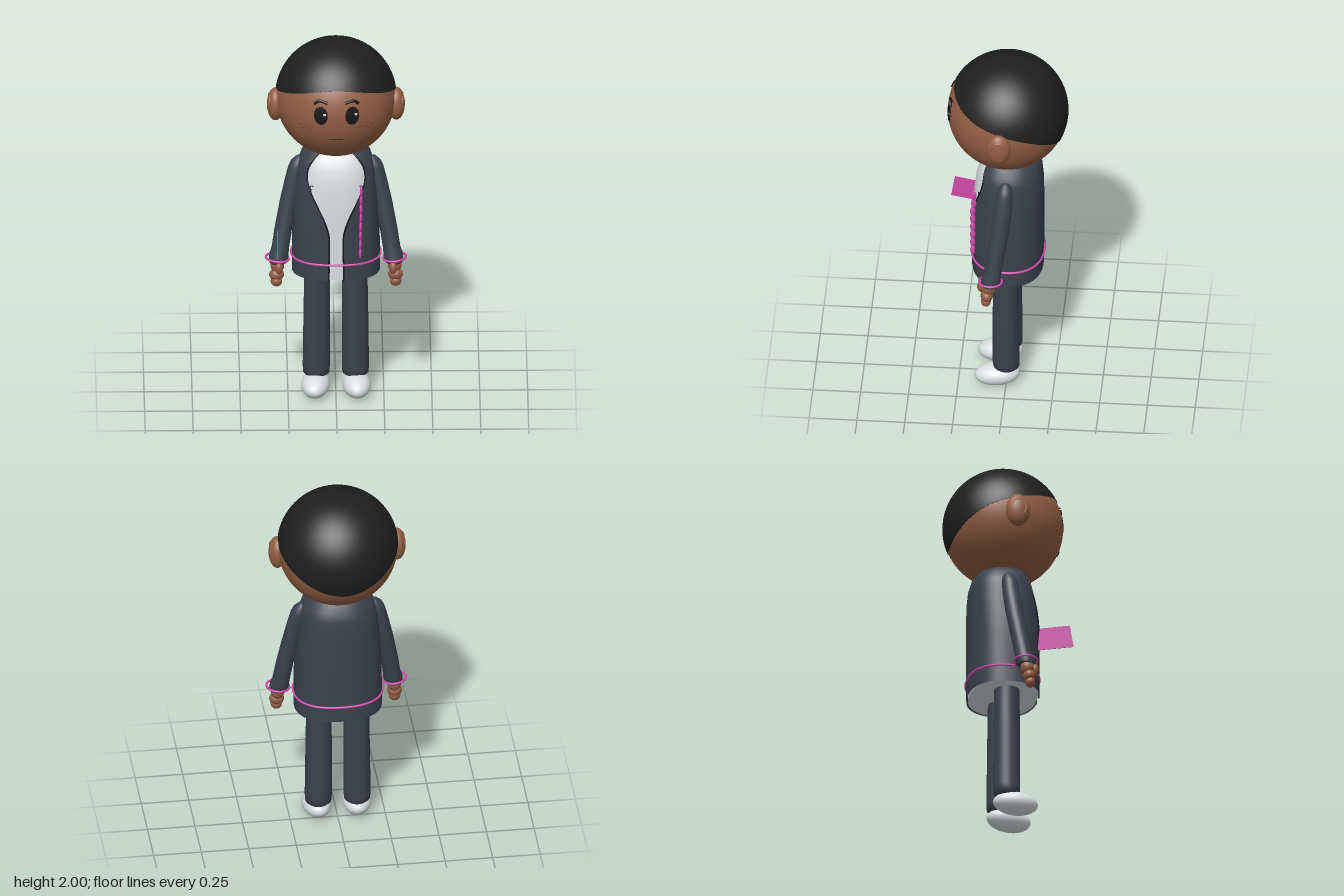
import * as THREE from 'three';

const mat = (name, color, side = THREE.FrontSide) => {
  const m = new THREE.MeshStandardMaterial({ color, side });
  m.name = name;
  return m;
};

export function createModel() {
  const skin = mat('skin', 0x925e43);
  const hairBlack = mat('hair black', 0x1f1f1f);
  const slate = mat('slate cloth', 0x3b414d, THREE.DoubleSide);
  const white = mat('white cloth', 0xd9dde0);
  const pink = mat('pink trim', 0xd04aac);
  const ink = mat('ink', 0x141517);
  const freckle = mat('freckle brown', 0x6b3d2a);

  const model = new THREE.Group();
  model.name = 'standingFigure';
  const add = (name, geo, material, pos = [0, 0, 0], scale = [1, 1, 1]) => {
    const m = new THREE.Mesh(geo, material);
    m.name = name;
    m.position.set(...pos);
    m.scale.set(...scale);
    model.add(m);
    return m;
  };
  const V = (x, y, z) => new THREE.Vector3(x, y, z);
  const ball = new THREE.SphereGeometry(1, 32, 20);
  const tube = (pts, r, closed = false, seg = 48) =>
    new THREE.TubeGeometry(new THREE.CatmullRomCurve3(pts, closed), seg, r, 8, closed);

  // Point on an oval section; p below 1 makes it boxier
  const oval = (r, t, p) => {
    const s = Math.sin(t), c = Math.cos(t);
    return V(r.cx + r.rx * Math.sign(s) * Math.abs(s) ** p, r.y,
      r.cz + (c > 0 ? r.rf : r.rb) * Math.sign(c) * Math.abs(c) ** p);
  };
  const openAngle = (r, p) => Math.asin((r.open / r.rx) ** (1 / p));

  // Skin over rising oval sections, optionally left open at the front
  const loft = (rows, p = 1, isOpen = false, n = 48) => {
    const pos = [], idx = [], cols = isOpen ? n + 1 : n;
    for (const r of rows) {
      const t0 = isOpen ? openAngle(r, p) : 0;
      for (let j = 0; j < cols; j++)
        pos.push(...oval(r, t0 + (j / n) * 2 * (Math.PI - t0), p).toArray());
    }
    for (let i = 0; i < rows.length - 1; i++)
      for (let j = 0; j < n; j++) {
        const a = i * cols + j, b = i * cols + ((j + 1) % cols);
        idx.push(a, b, a + cols, b, b + cols, a + cols);
      }
    const g = new THREE.BufferGeometry();
    g.setAttribute('position', new THREE.Float32BufferAttribute(pos, 3));
    g.setIndex(idx);
    g.computeVertexNormals();
    return g;
  };
  const round = (y, cx, cz, rx, rz = rx) => ({ y, cx, cz, rx, rf: rz, rb: rz });

  // Head and close-cropped hair
  const HY = 1.686, HR = 0.313;
  add('head', new THREE.SphereGeometry(HR, 64, 48), skin, [0, HY, 0]);
  const hair = new THREE.SphereGeometry(1, 80, 32);
  const hp = hair.attributes.position, hn = hair.attributes.normal, uv = hair.attributes.uv;
  for (let i = 0; i < hp.count; i++) {
    const phi = uv.getX(i) * Math.PI * 2, v = 1 - uv.getY(i), c = Math.sin(phi);
    const line = 0.045 + 0.1425 * c - 0.0375 * c * c - 0.05 * (c - c ** 3);
    const th = Math.acos(line / 0.317) * Math.min(1, v * 32 / 31);
    const d = V(-Math.cos(phi) * Math.sin(th), Math.cos(th), c * Math.sin(th));
    hn.setXYZ(i, d.x, d.y, d.z);
    d.multiplyScalar(v > 0.99 ? 0.306 : 0.317);
    hp.setXYZ(i, d.x, d.y, d.z);
  }
  add('hair', hair, hairBlack, [0, HY, 0]);

  // Face details wrapped onto the head
  const faceZ = (x, y, r) => Math.sqrt(r * r - x * x - (y - HY) ** 2);
  const spot = (name, x, y, rx, ry, material, r = 0.315) => {
    const g = new THREE.CircleGeometry(1, 24).scale(rx, ry, 1).translate(x, y, 0);
    const a = g.attributes.position;
    for (let i = 0; i < a.count; i++) a.setZ(i, faceZ(a.getX(i), a.getY(i), r));
    g.computeVertexNormals();
    add(name, g, material);
  };
  const stroke = (name, pts, r) =>
    add(name, tube(pts.map(([x, y]) => V(x, y, faceZ(x, y, 0.313))), r, false, 16), ink);
  for (const s of [-1, 1]) {
    spot('eye', s * 0.082, 1.707, 0.036, 0.05, ink, 0.3155);
    spot('eyeGlint', s * 0.082 + 0.02, 1.716, 0.008, 0.007, white, 0.3175);
    stroke('eyebrow', [[s * 0.115, 1.768], [s * 0.09, 1.784], [s * 0.045, 1.775]], 0.008);
    for (const [dx, dy] of [[-0.03, 0.008], [-0.018, -0.01], [0, 0.006], [0.015, -0.012], [0.03, 0.009]])
      spot('freckle', s * 0.155 + dx, 1.63 + dy, 0.004, 0.004, freckle);
    add('ear', ball, skin, [s * 0.315, 1.655, 0.025], [0.045, 0.09, 0.064]);
    const rim = add('earRim', new THREE.TorusGeometry(0.036, 0.009, 10, 32), skin,
      [s * 0.345, 1.66, 0.027], [1, 1.3, 1]);
    rim.rotation.y = Math.PI / 2;
  }
  stroke('mouth', [[-0.036, 1.571], [0, 1.573], [0.036, 1.571]], 0.005);

  // Open jacket: height, half width, front depth, back depth, half opening
  const P = 0.85;
  const rows = [
    [0.71, 0.23, 0.182, 0.188, 0.038], [0.8, 0.23, 0.182, 0.189, 0.038],
    [0.97, 0.228, 0.182, 0.19, 0.039], [1.05, 0.225, 0.182, 0.19, 0.063],
    [1.12, 0.22, 0.181, 0.19, 0.095], [1.2, 0.212, 0.177, 0.189, 0.132],
    [1.26, 0.206, 0.17, 0.187, 0.15], [1.32, 0.197, 0.156, 0.181, 0.146],
    [1.365, 0.182, 0.137, 0.168, 0.122], [1.4, 0.15, 0.11, 0.14, 0.09],
    [1.42, 0.11, 0.08, 0.1, 0.06],
  ].map(([y, rx, rf, rb, open]) => ({ y, cx: 0, cz: 0, rx, rf, rb, open }));
  add('jacket', loft(rows, P, true, 64), slate);
  for (const s of [-1, 1])
    add('jacketEdge', tube(rows.map((r) => oval(r, s * openAngle(r, P), P)), 0.004), ink);

  // Shirt under the jacket, closed at the hem
  const inner = rows.map((r) => ({ ...r, rx: r.rx - 0.008, rf: r.rf - 0.005, rb: r.rb - 0.008 }));
  inner[0].y = 0.715;
  add('shirt', loft(inner, P, false, 64), white);
  add('shirtHem', loft([round(0.715, 0, 0, 0.001), inner[0]], P, false, 64), white);

  // Pink hem band, zip chain and chest eyelets
  const hemRow = { ...rows[1], rx: 0.233, rf: 0.185, rb: 0.192 };
  const hemPts = Array.from({ length: 48 }, (_, i) => oval(hemRow, (i / 48) * Math.PI * 2, P));
  add('hemBand', tube(hemPts, 0.006, true, 96), pink);
  for (let i = 0; i < 8; i++)
    add('zipLink', ball, pink, [0.125 + i * 0.0008, 0.865 + i * 0.05, i > 5 ? 0.168 : 0.173],
      [0.008, 0.03, 0.014]);
  for (const s of [-1, 1])
    add('eyelet', new THREE.TorusGeometry(0.011, 0.003, 8, 20), ink, [s * 0.127, 1.225, 0.142]);

  // Thin pink tag held beside the right sleeve
  const tagShape = new THREE.Shape([[0.13, 0.86], [0.32, 0.895], [0.3, 1.015], [0.14, 0.985]]
    .map(([z, y]) => new THREE.Vector2(-z, y)));
  const tag = add('tag', new THREE.ExtrudeGeometry(tagShape, { depth: 0.004, bevelEnabled: false }),
    pink, [-0.309, 0, 0]);
  tag.rotation.y = Math.PI / 2;

  for (const s of [-1, 1]) {
    // Sleeve with a flared cuff and band
    add('sleeve', loft([
      round(0.785, s * 0.3, 0.068, 0.002), round(0.772, s * 0.302, 0.07, 0.044),
      round(0.78, s * 0.301, 0.069, 0.05), round(0.82, s * 0.297, 0.062, 0.05),
      round(0.85, s * 0.29, 0.056, 0.046), round(0.95, s * 0.275, 0.04, 0.046),
      round(1.1, s * 0.246, 0.018, 0.047), round(1.22, s * 0.221, 0.005, 0.045),
      round(1.29, s * 0.206, 0, 0.042), round(1.32, s * 0.198, -0.002, 0.036),
      round(1.342, s * 0.19, -0.003, 0.02), round(1.348, s * 0.185, -0.003, 0.002),
    ], 1, false, 32), slate);
    const band = add('cuffBand', new THREE.TorusGeometry(0.06, 0.006, 10, 48), pink,
      [s * 0.306, 0.795, 0.067]);
    band.rotation.set(Math.PI / 2, s * 0.1, 0);

    // Hand of stacked rounded segments
    add('palm', ball, skin, [s * 0.306, 0.755, 0.075], [0.036, 0.04, 0.036]);
    add('fingers', ball, skin, [s * 0.31, 0.708, 0.085], [0.039, 0.032, 0.033]);
    add('fingertips', ball, skin, [s * 0.311, 0.672, 0.09], [0.03, 0.029, 0.026]);
    add('thumb', ball, skin, [s * 0.298, 0.755, 0.115], [0.02, 0.033, 0.022]);

    // Trouser leg and shoe
    add('trouserLeg', loft([
      round(0.095, s * 0.102, 0, 0.002), round(0.098, s * 0.102, 0, 0.05),
      round(0.115, s * 0.102, 0, 0.068), round(0.15, s * 0.102, 0.001, 0.071),
      round(0.45, s * 0.1, 0.002, 0.069), round(0.74, s * 0.098, 0.003, 0.066),
    ], 1, false, 32), slate);
    const shoe = add('shoe', ball, white, [s * 0.107, 0.063, 0.047], [0.074, 0.06, 0.118]);
    shoe.rotation.set(0.08, s * 0.08, 0);
  }
  return model;
}
